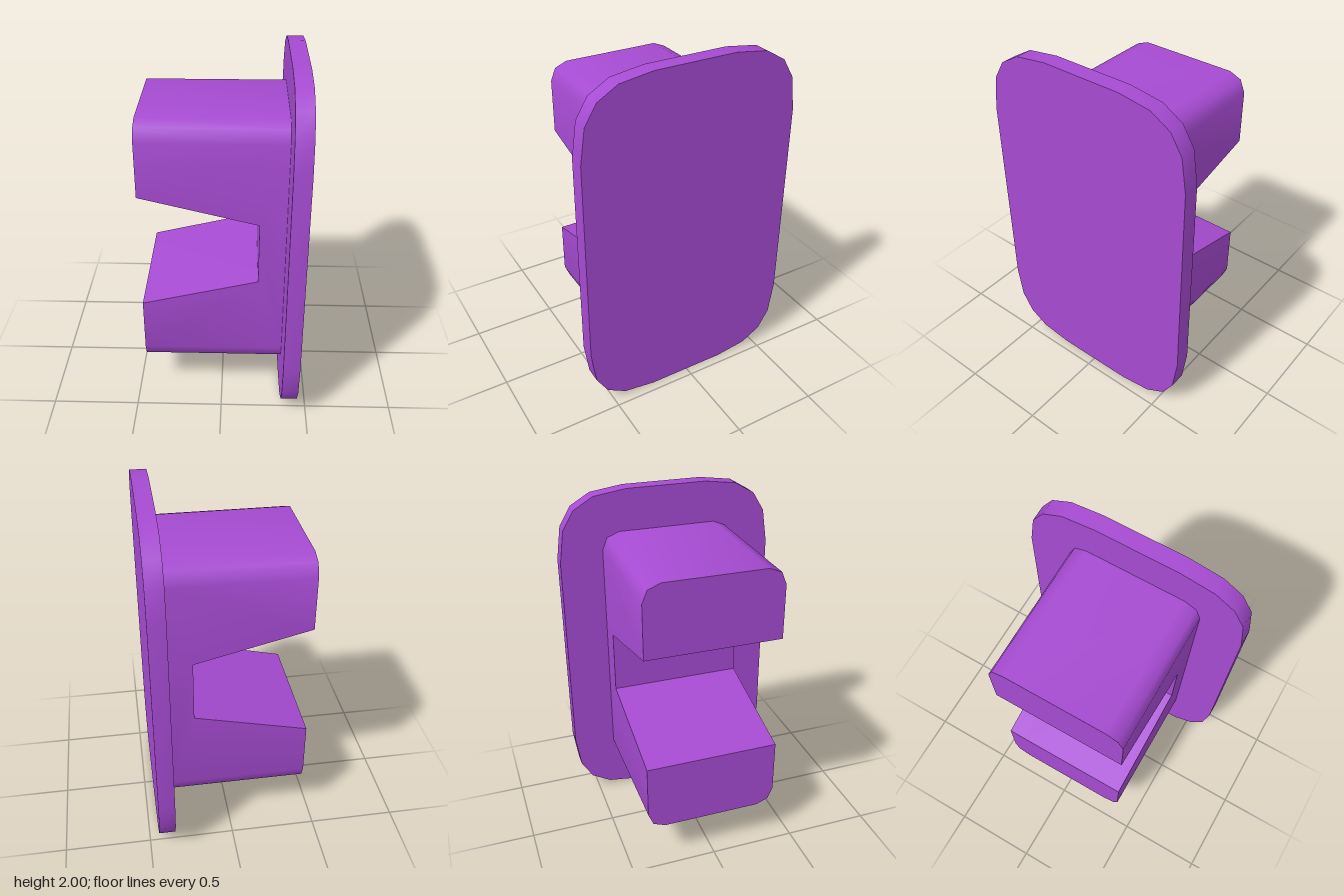
import * as THREE from 'three';
import { toCreasedNormals } from 'three/addons/utils/BufferGeometryUtils.js';

const CREASE = THREE.MathUtils.degToRad(50);

const shapeFrom = (points) => new THREE.Shape(points.map(([x, y]) => new THREE.Vector2(x, y)));

// Mirrors one corner (ordered from the +x side to the top) into a full outline
function mirrorCorner(corner) {
  const half = [...corner, ...[...corner].reverse().map(([x, y]) => [-x, y])];
  return [...half, ...half.map(([x, y]) => [-x, -y])];
}

// Cover plate: rounded outline with faceted corners, extruded along x
function plateGeometry() {
  const corner = [[0.635, 0.6], [0.607, 0.795], [0.54, 0.905], [0.425, 0.973], [0.235, 1]];
  const geometry = new THREE.ExtrudeGeometry(shapeFrom(mirrorCorner(corner)), { depth: 0.095, bevelEnabled: false });
  geometry.rotateY(Math.PI / 2).translate(0.351, 1, 0);
  return toCreasedNormals(geometry, CREASE);
}

// Plug: forked side profile extruded along z, its long outer edges rounded
function plugGeometry() {
  const top = 0.755;
  const upper = [[0.351, top], [-0.449, top], [-0.449, 0.342], [0.204, 0.182]];
  const outline = [...upper, ...[...upper].reverse().map(([x, y]) => [x, -y])];
  const geometry = new THREE.ExtrudeGeometry(shapeFrom(outline), { depth: 5, steps: 5, bevelEnabled: false });

  // Each extrusion step gets its own z and its own outer height
  const levels = [[-0.387, 0.655], [-0.358, 0.726], [-0.287, top], [0.287, top], [0.358, 0.726], [0.387, 0.655]];
  const position = geometry.attributes.position;
  for (let i = 0; i < position.count; i++) {
    const [z, height] = levels[Math.round(position.getZ(i))];
    const y = position.getY(i);
    position.setZ(i, z);
    if (Math.abs(y) > 0.7) position.setY(i, Math.sign(y) * height);
  }
  geometry.translate(0, 1.002, 0);
  return toCreasedNormals(geometry, CREASE);
}

export function createModel() {
  const material = new THREE.MeshStandardMaterial({ color: 0xa64bd2 });
  const model = new THREE.Group();
  model.name = 'plugCap';

  const parts = { coverPlate: plateGeometry(), forkedPlug: plugGeometry() };
  for (const [name, geometry] of Object.entries(parts)) {
    const mesh = new THREE.Mesh(geometry, material);
    mesh.name = name;
    model.add(mesh);
  }
  return model;
}
